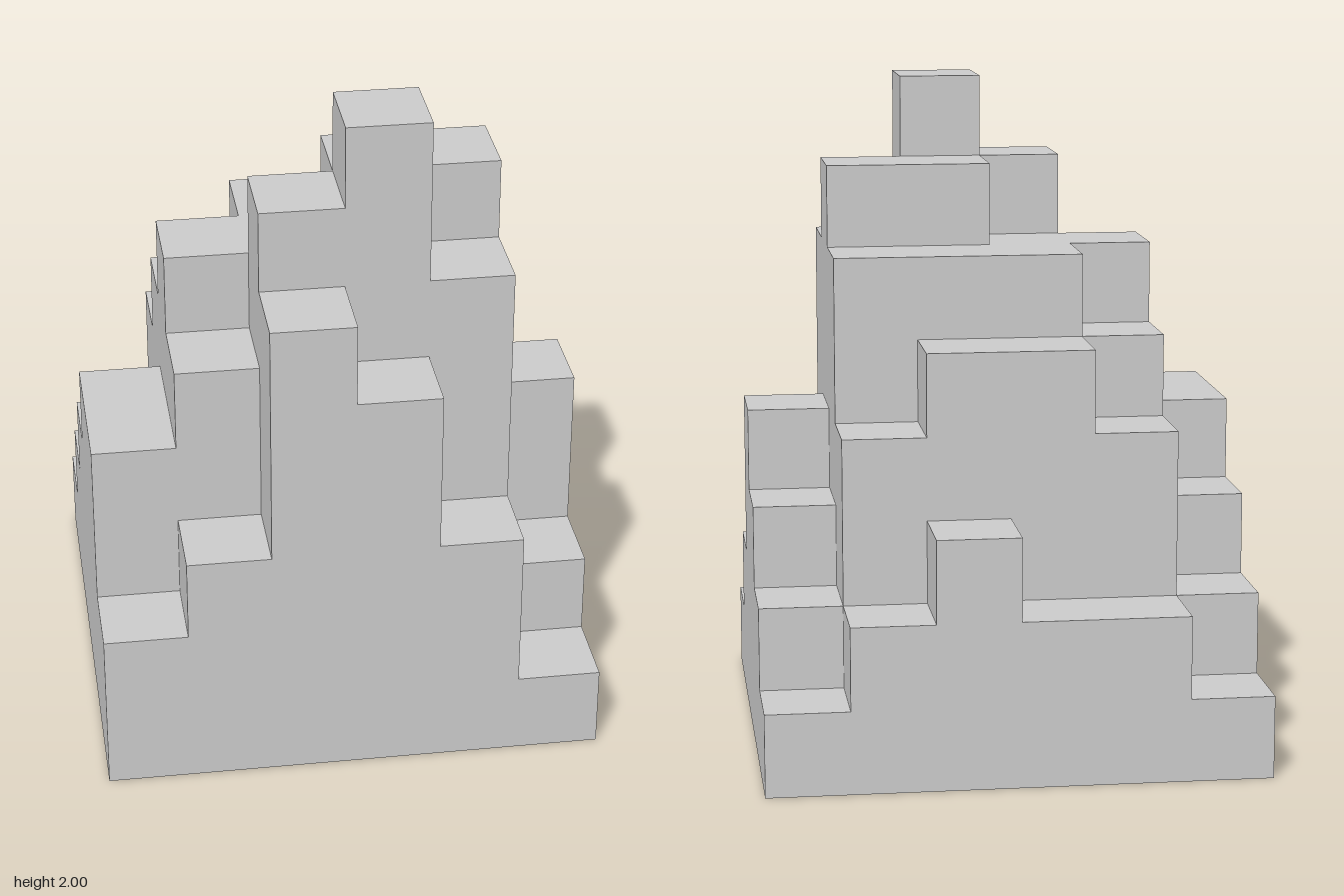
import * as THREE from 'three';

const CELL = 0.25;

// Column heights in cells: rows run back (-z) to front (+z), entries from -x to +x
const HEIGHTS = [
  [1, 2, 2, 3, 2, 1],
  [2, 4, 5, 5, 4, 2],
  [3, 5, 6, 6, 6, 3],
  [4, 6, 6, 7, 7, 4],
  [4, 5, 7, 8, 6, 2],
  [2, 3, 6, 5, 3, 1],
];
const N = HEIGHTS.length;
const HALF = N / 2;
const heightAt = (col, row) => HEIGHTS[row]?.[col] ?? 0;

// Collects flat quads (corners anticlockwise seen from outside) into one geometry
function quadSkin() {
  const positions = [];
  return {
    add(a, b, c, d) {
      for (const p of [a, b, c, a, c, d]) positions.push(...p.map((v) => v * CELL));
    },
    build() {
      const geometry = new THREE.BufferGeometry();
      geometry.setAttribute('position', new THREE.Float32BufferAttribute(positions, 3));
      geometry.computeVertexNormals();
      return geometry;
    },
  };
}

export function createModel() {
  const group = new THREE.Group();
  group.name = 'steppedMountain';
  const material = new THREE.MeshStandardMaterial({ color: 0xcccccc, flatShading: true });
  const treads = quadSkin();
  const walls = quadSkin();
  const base = quadSkin();

  for (let row = 0; row < N; row++) {
    for (let col = 0; col < N; col++) {
      const h = heightAt(col, row);
      const x = col - HALF;
      const z = row - HALF;

      // Level top of the column
      treads.add([x, h, z], [x, h, z + 1], [x + 1, h, z + 1], [x + 1, h, z]);

      // Exposed wall down to each lower neighbour
      for (const [nx, nz] of [[1, 0], [-1, 0], [0, 1], [0, -1]]) {
        const low = heightAt(col + nx, row + nz);
        if (low >= h) continue;
        const corner = (side, y) => [
          x + 0.5 + (nx + side * nz) / 2,
          y,
          z + 0.5 + (nz - side * nx) / 2,
        ];
        walls.add(corner(-1, low), corner(1, low), corner(1, h), corner(-1, h));
      }
    }
  }

  // Underside
  base.add([-HALF, 0, -HALF], [HALF, 0, -HALF], [HALF, 0, HALF], [-HALF, 0, HALF]);

  for (const [name, skin] of Object.entries({ treads, walls, base })) {
    const mesh = new THREE.Mesh(skin.build(), material);
    mesh.name = name;
    group.add(mesh);
  }
  return group;
}
